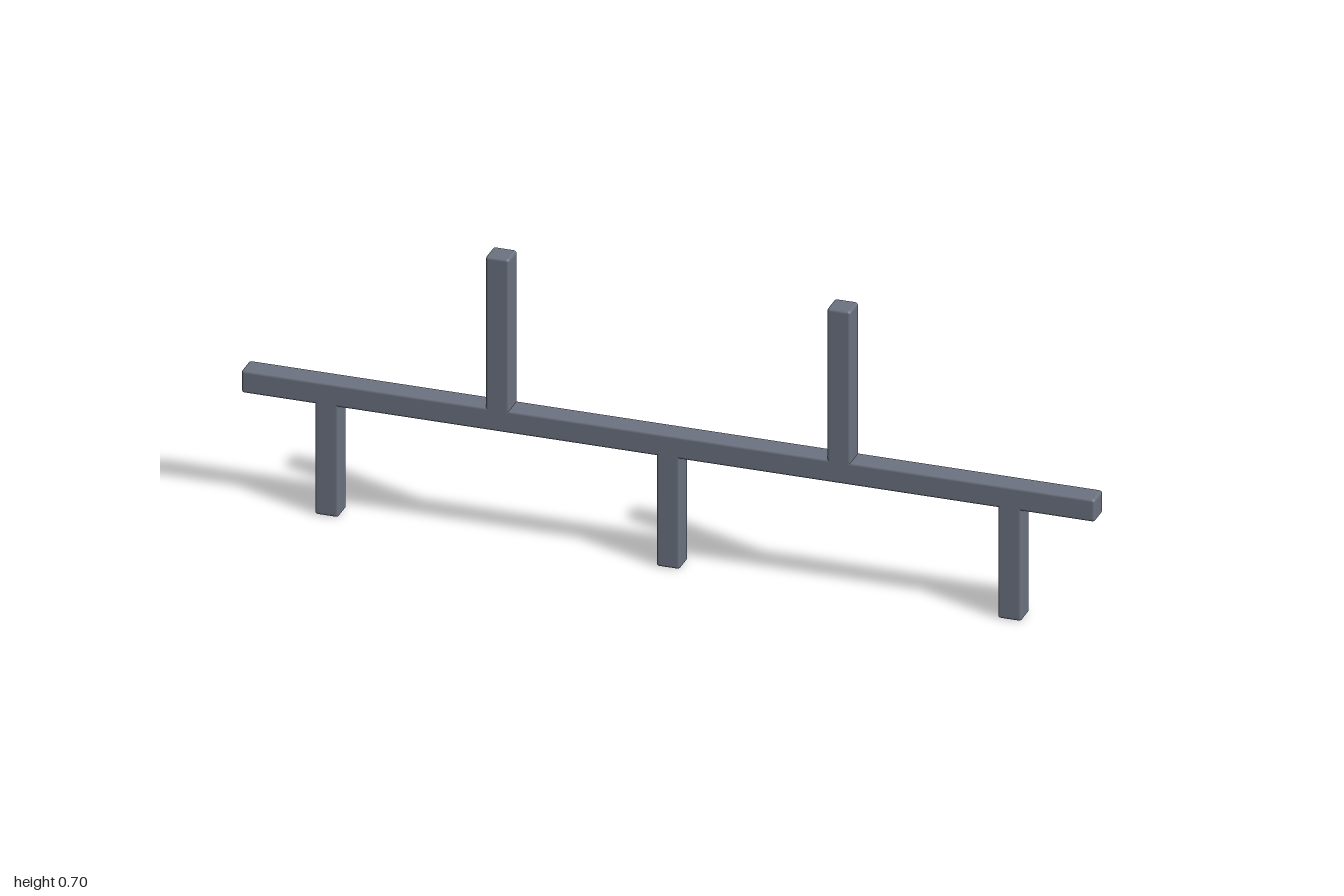
import * as THREE from 'three';
import { RoundedBoxGeometry } from 'three/addons/geometries/RoundedBoxGeometry.js';

export function createModel() {
  const model = new THREE.Group();
  model.name = 'railFrame';

  const steel = new THREE.MeshStandardMaterial({ color: 0x6b7280 });
  steel.name = 'slate grey';

  const thick = 0.056; // square section of every bar
  const beamY = 0.3;

  const addBar = (name, width, height, x, y) => {
    const bar = new THREE.Mesh(new RoundedBoxGeometry(width, height, thick, 2, 0.007), steel);
    bar.name = name;
    bar.position.set(x, y, 0);
    model.add(bar);
  };

  // Long horizontal beam
  addBar('beam', 2, thick, 0, beamY);

  // Posts rising from the middle of the beam
  const top = 0.7;
  for (const x of [-0.4, 0.4]) {
    addBar(x < 0 ? 'rightPost' : 'leftPost', thick, top - beamY, x, (top + beamY) / 2);
  }

  // Legs hanging from the beam down to the ground
  const legs = { rightLeg: -0.8, middleLeg: 0, leftLeg: 0.8 };
  for (const [name, x] of Object.entries(legs)) {
    addBar(name, thick, beamY, x, beamY / 2);
  }

  return model;
}
